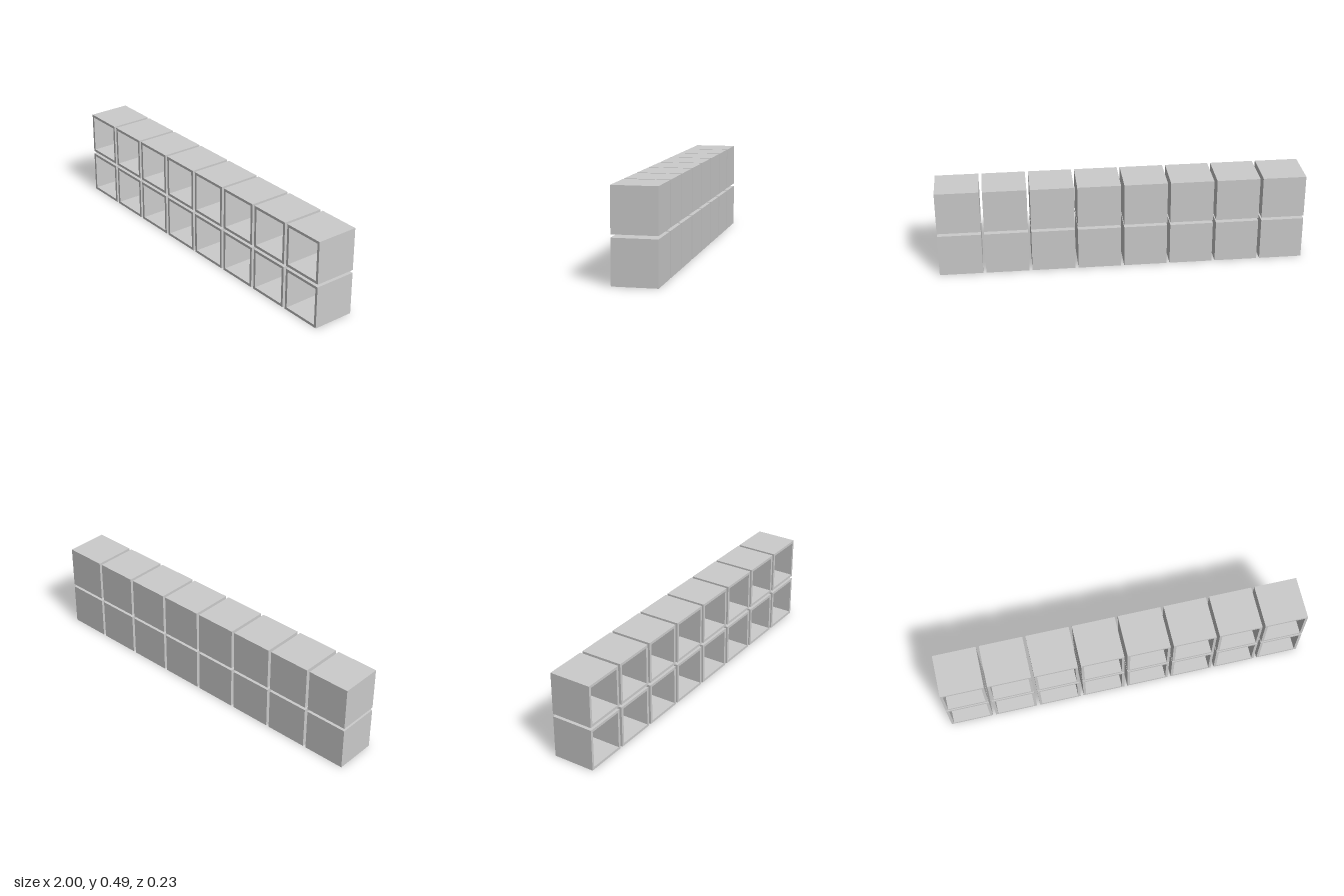
import * as THREE from 'three';

const COLS = 8, ROWS = 2;
const W = 0.235, H = 0.236, D = 0.235;      // outer size of one cubby
const PITCH_X = (2 - W) / (COLS - 1), PITCH_Y = 0.252;
const WALL = 0.0145;

// Square tube: four walls around the opening
function makeFrameGeometry() {
  const rect = (path, w, h) => path
    .moveTo(-w / 2, -h / 2).lineTo(w / 2, -h / 2)
    .lineTo(w / 2, h / 2).lineTo(-w / 2, h / 2).closePath();
  const shape = new THREE.Shape();
  rect(shape, W, H);
  const hole = new THREE.Path();
  rect(hole, W - 2 * WALL, H - 2 * WALL);
  shape.holes.push(hole);
  const geometry = new THREE.ExtrudeGeometry(shape, { depth: D, bevelEnabled: false });
  return geometry.translate(0, 0, -D / 2);
}

export function createModel() {
  const model = new THREE.Group();
  model.name = 'cubbyShelf';
  const material = new THREE.MeshStandardMaterial({ color: 0xcccccc });
  const frameGeometry = makeFrameGeometry();
  // Back panel closes the rear of the tube, flush with its edge
  const backGeometry = new THREE.BoxGeometry(W - 2 * WALL, H - 2 * WALL, WALL)
    .translate(0, 0, -D / 2 + WALL / 2);

  // Grid of separate open-fronted boxes
  for (let row = 0; row < ROWS; row++) {
    for (let col = 0; col < COLS; col++) {
      const cubby = new THREE.Group();
      cubby.name = `cubby_${row + 1}_${col + 1}`;
      const frame = new THREE.Mesh(frameGeometry, material);
      frame.name = 'walls';
      const back = new THREE.Mesh(backGeometry, material);
      back.name = 'backPanel';
      cubby.add(frame, back);
      cubby.position.set((col - (COLS - 1) / 2) * PITCH_X, H / 2 + row * PITCH_Y, 0);
      model.add(cubby);
    }
  }
  return model;
}
